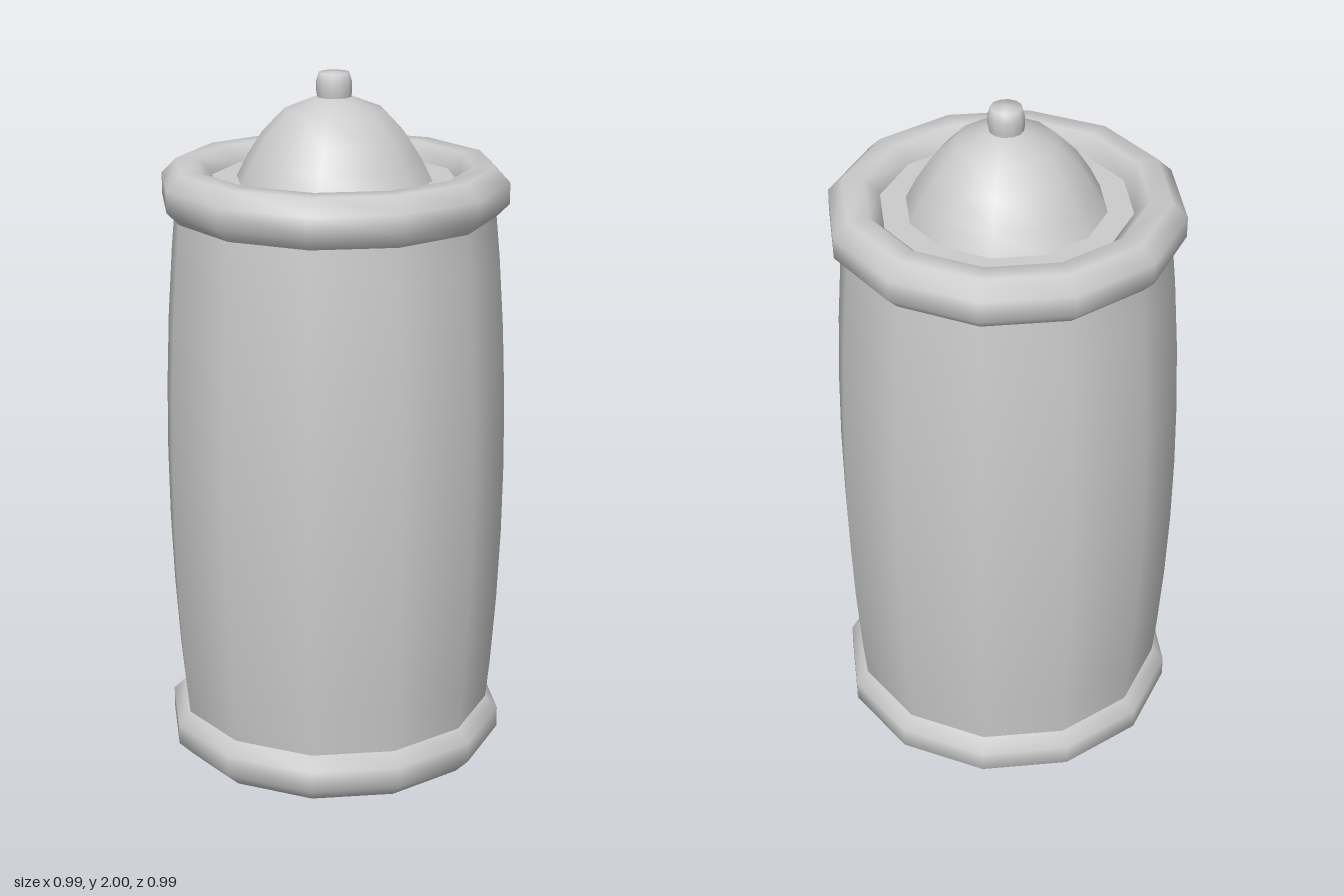
import * as THREE from 'three';
import { mergeVertices } from 'three/addons/utils/BufferGeometryUtils.js';

const SIDES = 12;
const material = new THREE.MeshStandardMaterial({ color: 0xcccccc });

// Turned part from [radius, height] points running upward on the outside, smooth across seams
function turned(name, profile) {
  const lathe = new THREE.LatheGeometry(profile.map(([r, y]) => new THREE.Vector2(r, y)), SIDES);
  lathe.deleteAttribute('normal');
  lathe.deleteAttribute('uv');
  const geometry = mergeVertices(lathe, 1e-5);
  geometry.computeVertexNormals();
  const mesh = new THREE.Mesh(geometry, material);
  mesh.name = name;
  return mesh;
}

// Thick ring with an octagonal section, flat at top and bottom
function rim(name, y) {
  const section = [];
  for (let i = 0; i <= 8; i++) {
    const a = (i + 0.5) * Math.PI / 4;
    section.push([0.42 + 0.078 * Math.cos(a), y + 0.0785 * Math.sin(a)]);
  }
  return turned(name, section);
}

export function createModel() {
  const group = new THREE.Group();
  group.name = 'canister';

  // Bulging barrel wall
  const low = 0.045, high = 1.7, endRadius = 0.447;
  const wall = [];
  for (let i = 0; i <= 8; i++) {
    const t = i / 4 - 1;
    wall.push([0.493 - (0.493 - endRadius) * t * t, low + (high - low) * i / 8]);
  }
  group.add(turned('body', wall));

  // Flat ends, recessed inside the rims
  group.add(turned('bottomPlate', [[0, low], [endRadius, low]]));
  group.add(turned('topPlate', [[endRadius, high], [0, high]]));

  // Rims at both ends
  group.add(rim('bottomRim', 0.0725));
  group.add(rim('topRim', 1.6725));

  // Domed lid
  group.add(turned('dome', [
    [0.276, high], [0.246, 1.76], [0.203, 1.828], [0.14, 1.894], [0.05, 1.93], [0, 1.937],
  ]));

  // Nozzle with a rounded tip
  group.add(turned('nozzle', [
    [0.046, 1.92], [0.05, 1.945], [0.05, 1.972], [0.043, 1.997], [0, 2],
  ]));

  return group;
}
